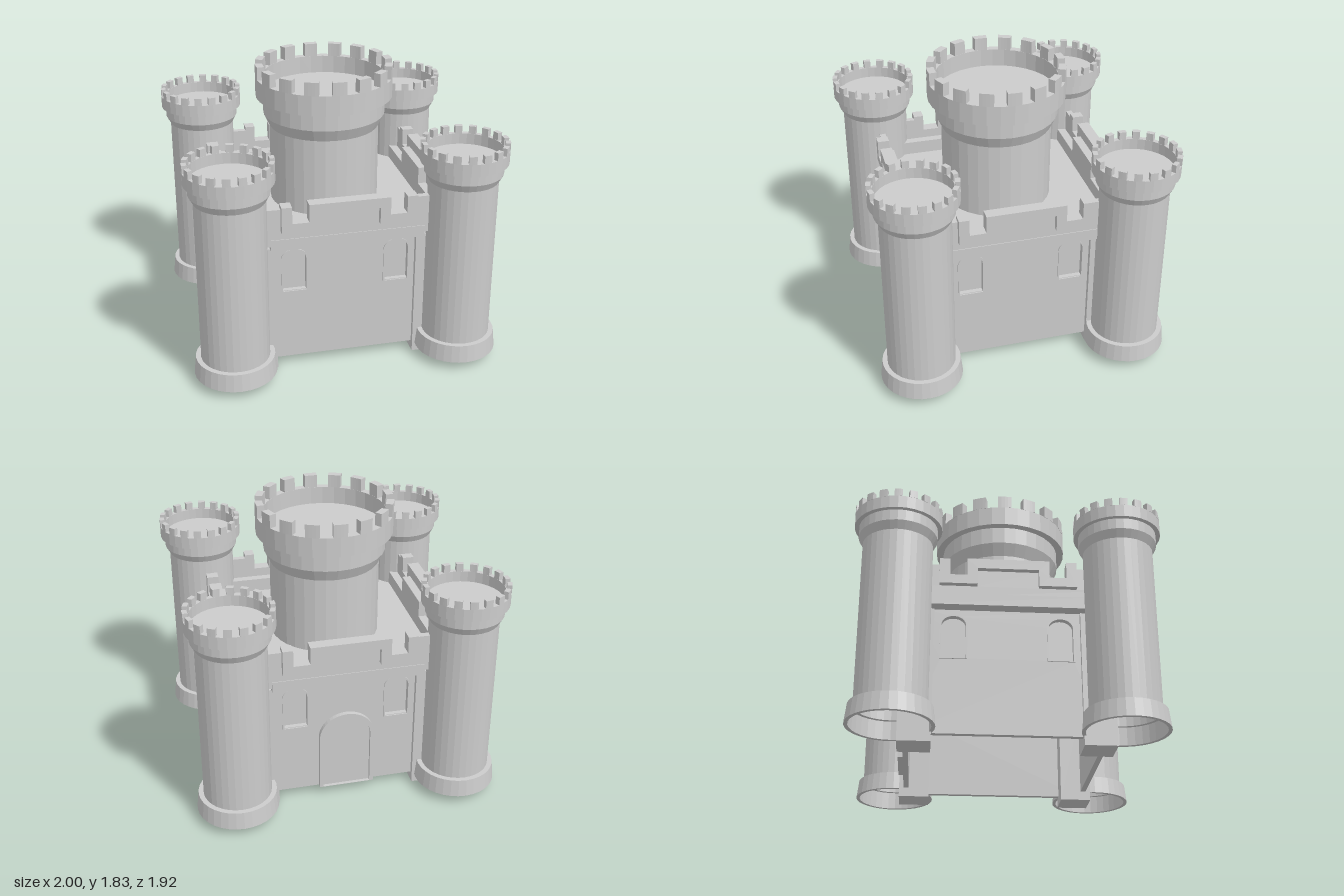
import * as THREE from 'three';

const stone = new THREE.MeshStandardMaterial({ color: 0xcccccc, flatShading: true, side: THREE.DoubleSide });

function add(parent, name, geometry) {
  const mesh = new THREE.Mesh(geometry, stone);
  mesh.name = name;
  parent.add(mesh);
  return mesh;
}

// Box given by its limits on each axis
function block(parent, name, x0, x1, y0, y1, z0, z1) {
  const mesh = add(parent, name, new THREE.BoxGeometry(x1 - x0, y1 - y0, z1 - z0));
  mesh.position.set((x0 + x1) / 2, (y0 + y1) / 2, (z0 + z1) / 2);
  return mesh;
}

function extrude(shape, depth) {
  return new THREE.ExtrudeGeometry(shape, { depth, bevelEnabled: false, curveSegments: 12 });
}

// Arched outline: straight sides and a round or flattened head
function trace(path, cx, halfWidth, y0, spring, top) {
  path.moveTo(cx - halfWidth, y0);
  path.lineTo(cx + halfWidth, y0);
  path.lineTo(cx + halfWidth, spring);
  path.absellipse(cx, spring, halfWidth, top - spring, 0, Math.PI, false);
  path.lineTo(cx - halfWidth, y0);
  return path;
}

function archFrame(parent, name, cx, hw, y0, spring, top, border, z, depth) {
  const shape = trace(new THREE.Shape(), cx, hw, y0, spring, top);
  shape.holes.push(trace(new THREE.Path(), cx, hw - border, y0 + 0.001, spring, top - border));
  add(parent, name, extrude(shape, depth)).position.z = z;
}

// Round tower: lathed body plus a ring of merlons
function tower(name, profile, sides, outer, inner, y0, y1, count) {
  const group = new THREE.Group();
  group.name = name;
  add(group, 'towerBody', new THREE.LatheGeometry(profile.map(p => new THREE.Vector2(...p)), sides));
  const step = Math.PI * 2 / count;
  const shape = new THREE.Shape();
  const a = step * 0.26;
  shape.absarc(0, 0, outer, -a, a, false);
  shape.absarc(0, 0, inner, a, -a, true);
  const geometry = new THREE.ExtrudeGeometry(shape, { depth: y1 - y0, bevelEnabled: false, curveSegments: 2 });
  geometry.rotateX(-Math.PI / 2);
  for (let i = 0; i < count; i++) {
    const merlon = add(group, 'merlon', geometry);
    merlon.position.y = y0;
    merlon.rotation.y = i * step;
  }
  return group;
}

// One side of the castle, facing +z
function side(name, hasGate) {
  const g = new THREE.Group();
  g.name = name;

  // Wall with arched window openings
  const wall = new THREE.Shape();
  wall.moveTo(-0.6, 0.06);
  wall.lineTo(0.6, 0.06);
  wall.lineTo(0.6, 0.9);
  wall.lineTo(-0.6, 0.9);
  wall.closePath();
  for (const s of [-1, 1]) {
    wall.holes.push(trace(new THREE.Path(), s * 0.33, 0.075, 0.545, 0.765, 0.825));
    archFrame(g, 'windowFrame', s * 0.33, 0.085, 0.54, 0.765, 0.835, 0.01, 0.62, 0.008);
  }
  add(g, 'wall', extrude(wall, 0.035)).position.z = 0.585;
  for (const s of [-1, 1]) block(g, 'windowPanel', s * 0.33 - 0.09, s * 0.33 + 0.09, 0.53, 0.84, 0.575, 0.59);

  if (hasGate) {
    add(g, 'gateDoor', extrude(trace(new THREE.Shape(), 0, 0.16, 0.06, 0.44, 0.59), 0.008)).position.z = 0.62;
    archFrame(g, 'gateFrame', 0, 0.18, 0.06, 0.44, 0.61, 0.025, 0.62, 0.03);
  }

  // Cornice and parapet with a raised middle
  block(g, 'cornice', -0.487, 0.487, 0.87, 0.945, 0.6, 0.7);
  block(g, 'parapetBase', -0.6, 0.6, 0.9, 1.0, 0.6, 0.695);
  block(g, 'parapetCentre', -0.19, 0.19, 1.0, 1.11, 0.6, 0.695);

  // Stepped coping strip along the top
  const coping = new THREE.Shape();
  const right = [[0.19, 1.11], [0.19, 1.0], [0.425, 1.0], [0.425, 1.17], [0.36, 1.17], [0.36, 1.06], [0.255, 1.06], [0.255, 1.175]];
  const left = right.map(([x, y]) => [-x, y]).reverse();
  coping.setFromPoints([...right, ...left].map(p => new THREE.Vector2(...p)));
  add(g, 'coping', extrude(coping, 0.077)).position.z = 0.655;

  // Short pieces joining the parapet to the towers
  for (const s of [-1, 1]) {
    block(g, 'parapetEnd', s * 0.515 - 0.09, s * 0.515 + 0.09, 0.945, 1.145, 0.655, 0.695);
  }
  return g;
}

export function createModel() {
  const castle = new THREE.Group();
  castle.name = 'castle';

  // Four walls, the gate at the back
  ['frontSide', 'leftSide', 'backSide', 'rightSide'].forEach((name, i) => {
    const g = side(name, i === 2);
    g.rotation.y = i * Math.PI / 2;
    castle.add(g);
  });

  // Courtyard roof
  block(castle, 'roof', -0.61, 0.61, 0.87, 0.91, -0.61, 0.61);

  // Corner pillars and towers
  const towerProfile = [
    [0.24, 0.175], [0.24, 0.06], [0.263, 0.06], [0.25, 0.175], [0.218, 0.175], [0.218, 1.24], [0.245, 1.29],
    [0.245, 1.36], [0.273, 1.36], [0.273, 1.44], [0.242, 1.44], [0.242, 1.37], [0, 1.37]];
  for (const sx of [-1, 1]) {
    for (const sz of [-1, 1]) {
      block(castle, 'cornerPillar', sx * 0.55 - 0.1, sx * 0.55 + 0.1, 0, 0.862, sz * 0.55 - 0.1, sz * 0.55 + 0.1);
      const t = tower('cornerTower', towerProfile, 32, 0.273, 0.242, 1.44, 1.49, 18);
      t.position.set(sx * 0.727, 0, sz * 0.688);
      castle.add(t);
    }
  }

  // Central keep
  const keepProfile = [
    [0.357, 0.9], [0.357, 1.42], [0.395, 1.5], [0.395, 1.615], [0.443, 1.615],
    [0.443, 1.745], [0.395, 1.745], [0.395, 1.63], [0, 1.63]];
  castle.add(tower('keep', keepProfile, 32, 0.443, 0.395, 1.745, 1.83, 16));

  return castle;
}
